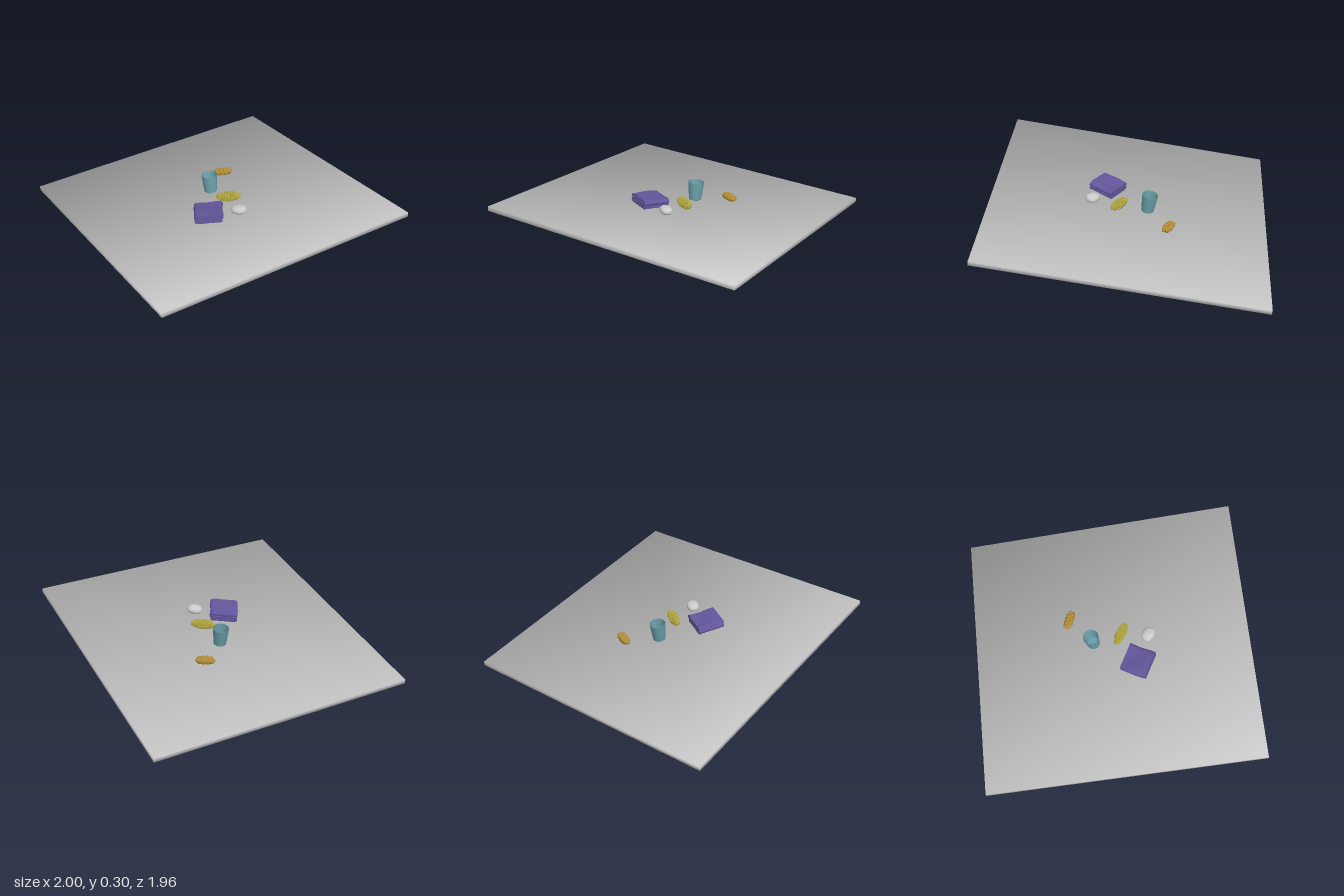
import * as THREE from 'three';
import { mergeGeometries } from 'three/addons/utils/BufferGeometryUtils.js';

const mat = (color, side = THREE.FrontSide) => new THREE.MeshStandardMaterial({ color, side });

function part(name, geometry, material) {
  const mesh = new THREE.Mesh(geometry, material);
  mesh.name = name;
  return mesh;
}

// Board with soft shading: every corner normal points out along the diagonal
function makeBoard() {
  const g = new THREE.BoxGeometry(1.84, 0.03, 1.785);
  const p = g.attributes.position, n = new THREE.Vector3();
  for (let i = 0; i < p.count; i++) {
    n.set(Math.sign(p.getX(i)), Math.sign(p.getY(i)), Math.sign(p.getZ(i))).normalize();
    g.attributes.normal.setXYZ(i, n.x, n.y, n.z);
  }
  return part('board', g, mat(0xcccccc));
}

// Open tapered cup with a thin wall
function makeCup() {
  const profile = [[0, 0], [0.039, 0], [0.042, 0.003], [0.053, 0.123], [0.0515, 0.125],
    [0.049, 0.123], [0.039, 0.01], [0.037, 0.007], [0, 0.007]];
  const g = new THREE.LatheGeometry(profile.map(([r, y]) => new THREE.Vector2(r, y)), 40);
  return part('cup', g, mat(0x6a9fa8, THREE.DoubleSide));
}

// Three strands woven along x, drawn together at the ends
function makeBraid() {
  const strands = [];
  for (let s = 0; s < 3; s++) {
    const pts = [];
    for (let i = 0; i <= 32; i++) {
      const t = i / 32 * 2 - 1, a = t * 4.2 + s * Math.PI * 2 / 3;
      const w = Math.sqrt(1 - 0.75 * t * t);
      pts.push(new THREE.Vector3(t * 0.05, 0.022 + 0.009 * w * Math.sin(2 * a), 0.019 * w * Math.sin(a)));
    }
    strands.push(new THREE.TubeGeometry(new THREE.CatmullRomCurve3(pts), 48, 0.0135, 10));
    for (const e of [pts[0], pts[32]])
      strands.push(new THREE.SphereGeometry(0.0135, 10, 8).translate(e.x, e.y, e.z));
  }
  return part('braidedRoll', mergeGeometries(strands), mat(0xb48e38));
}

// Corn cob: ellipsoid core covered by rings of kernels
function makeCob() {
  const a = 0.082, r = 0.028;
  const pieces = [new THREE.SphereGeometry(1, 24, 16).scale(a, r, r)];
  const rings = 15, around = 12;
  for (let i = 0; i < rings; i++) {
    const t = (i + 0.5) / rings * 2 - 1, w = Math.sqrt(1 - t * t);
    for (let j = 0; j < around; j++) {
      const ang = (j + (i % 2) / 2) / around * Math.PI * 2;
      pieces.push(new THREE.SphereGeometry(1, 8, 6)
        .scale(0.006, 0.003 + 0.004 * w, 0.003 + 0.004 * w)
        .translate(t * a * 0.98, Math.cos(ang) * r * w, Math.sin(ang) * r * w));
    }
  }
  return part('cornCob', mergeGeometries(pieces).translate(0, 0.033, 0), mat(0xb5ac42));
}

// Rounded stone: a sphere squared off by a power rule
function makeStone() {
  const g = new THREE.SphereGeometry(1, 32, 24), p = g.attributes.position;
  const sq = (v) => Math.sign(v) * Math.pow(Math.abs(v), 0.85);
  for (let i = 0; i < p.count; i++)
    p.setXYZ(i, sq(p.getX(i)) * 0.05, sq(p.getY(i)) * 0.027 + 0.027, sq(p.getZ(i)) * 0.04);
  g.computeVertexNormals();
  return part('stone', g, mat(0xcccccc));
}

// Folded cloth: a thick ribbon folded back and forth, extruded across its width
function makeCloth() {
  const thick = 0.0155, half = 0.087, length = 0.18;
  const path = [[half, 0.009], [0, 0.009], [-0.078, 0.009], [-half, 0.018], [-0.078, 0.027], [0, 0.027],
    [0.078, 0.028], [half, 0.037], [0.078, 0.046], [0.02, 0.046], [-0.04, 0.048], [-0.08, 0.049], [-0.088, 0.04]];
  const curve = new THREE.CatmullRomCurve3(path.map(([x, y]) => new THREE.Vector3(x, y, 0)));
  const near = [], far = [];
  for (let i = 0; i <= 90; i++) {
    const c = curve.getPoint(i / 90), t = curve.getTangent(i / 90);
    near.push(new THREE.Vector2(c.x - t.y * thick / 2, c.y + t.x * thick / 2));
    far.unshift(new THREE.Vector2(c.x + t.y * thick / 2, c.y - t.x * thick / 2));
  }
  const g = new THREE.ExtrudeGeometry(new THREE.Shape([...near, ...far]),
    { depth: length, steps: 8, bevelEnabled: false });
  g.translate(0, 0, -length / 2).rotateY(Math.PI / 2);
  // gentle creases on the upper layers
  const p = g.attributes.position;
  for (let i = 0; i < p.count; i++) {
    const x = p.getX(i), y = p.getY(i), z = p.getZ(i);
    p.setY(i, y * (1 + 0.06 * Math.sin(x * 30 + z * 18)));
    p.setZ(i, z + 0.002 * Math.sin(x * 40 + y * 60));
  }
  g.computeVertexNormals();
  return part('foldedCloth', g, mat(0x63559a, THREE.DoubleSide));
}

export function createModel() {
  const model = new THREE.Group();
  model.name = 'tiltedBoardWithObjects';

  // everything shares the slope of the board
  const slope = new THREE.Group();
  slope.name = 'slope';
  slope.position.y = 0.1524;
  slope.rotation.set(0, -0.102, 0.15, 'YXZ');
  slope.add(makeBoard());

  const place = (mesh, x, z, turn) => {
    mesh.position.set(x, 0.015, z);
    mesh.rotation.y = turn;
    slope.add(mesh);
  };
  place(makeCup(), -0.113, -0.037, 0);
  place(makeBraid(), -0.26, -0.222, 1.14);
  place(makeCob(), 0.08, -0.064, 1.02);
  place(makeStone(), 0.261, -0.034, 0.88);
  place(makeCloth(), 0.172, 0.144, -0.513);

  model.add(slope);
  return model;
}
